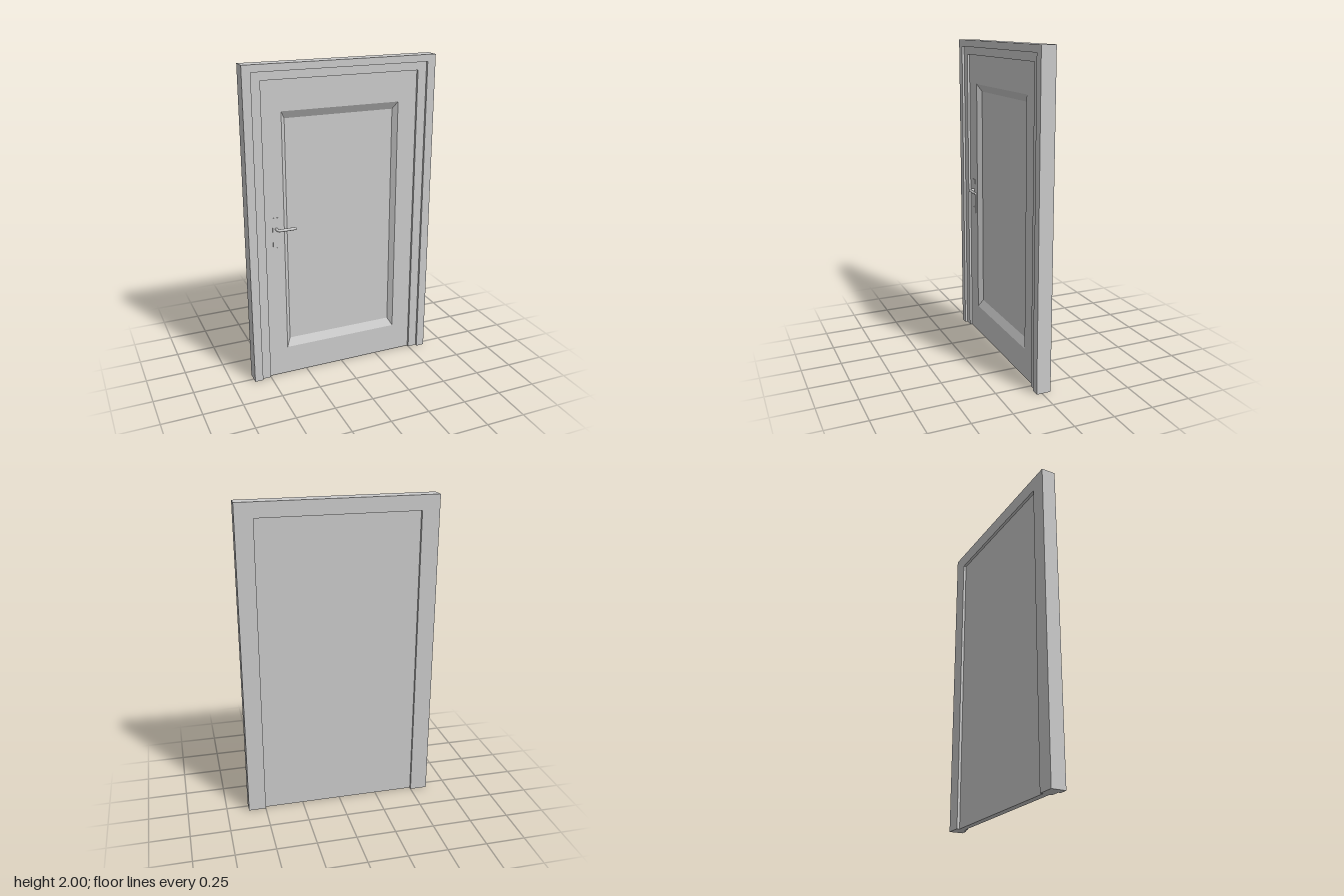
import * as THREE from 'three';

const material = new THREE.MeshStandardMaterial({ color: 0xcccccc });

function add(parent, name, geometry, x = 0, y = 0, z = 0) {
  const mesh = new THREE.Mesh(geometry, material);
  mesh.name = name;
  mesh.position.set(x, y, z);
  parent.add(mesh);
  return mesh;
}

// Upside-down U: two jambs and a head around a doorway, open at the floor
function doorway(outerHalf, outerTop, innerHalf, innerTop, depth) {
  const shape = new THREE.Shape([
    [-outerHalf, 0], [-innerHalf, 0], [-innerHalf, innerTop], [innerHalf, innerTop],
    [innerHalf, 0], [outerHalf, 0], [outerHalf, outerTop], [-outerHalf, outerTop],
  ].map(([x, y]) => new THREE.Vector2(x, y)));
  return new THREE.ExtrudeGeometry(shape, { depth, bevelEnabled: false });
}

// Closed solid through rectangular loops [halfWidth, bottom, top, z], back to front
function rectangleLoft(loops) {
  const rings = loops.map(([w, b, t, z]) => [[-w, b, z], [w, b, z], [w, t, z], [-w, t, z]]);
  const positions = [];
  const quad = (a, b, c, d) => positions.push(...a, ...b, ...c, ...a, ...c, ...d);
  for (let i = 0; i < rings.length - 1; i++) {
    for (let k = 0; k < 4; k++) {
      const n = (k + 1) % 4;
      quad(rings[i][k], rings[i][n], rings[i + 1][n], rings[i + 1][k]);
    }
  }
  quad(...[...rings[0]].reverse());
  quad(...rings[rings.length - 1]);
  const geometry = new THREE.BufferGeometry();
  geometry.setAttribute('position', new THREE.Float32BufferAttribute(positions, 3));
  geometry.computeVertexNormals();
  return geometry;
}

export function createModel() {
  const door = new THREE.Group();
  door.name = 'door';

  // Stepped frame: deep lining with a wider casing in front
  const frame = new THREE.Group();
  frame.name = 'frame';
  door.add(frame);
  add(frame, 'frameLining', doorway(0.61, 2, 0.5, 1.907, 0.075), 0, 0, -0.055);
  add(frame, 'frameCasing', doorway(0.61, 2, 0.557, 1.957, 0.015), 0, 0, 0.02);

  // Leaf with a bevelled sunken panel on the front and a plain back
  const front = 0.005;
  add(door, 'doorLeaf', rectangleLoft([
    [0.5, 0, 1.907, -0.037],
    [0.5, 0, 1.907, front],
    [0.377, 0.185, 1.722, front],
    [0.35, 0.235, 1.675, front - 0.027],
  ]));

  // Lever handle on a thin backplate with a keyhole
  const handle = new THREE.Group();
  handle.name = 'handle';
  handle.position.set(-0.43, 1.008, front);
  door.add(handle);

  const plate = new THREE.Shape([[-0.021, -0.16], [0.021, -0.16], [0.021, 0.072], [-0.021, 0.072]]
    .map(([x, y]) => new THREE.Vector2(x, y)));
  const keyhole = new THREE.Path();
  keyhole.absarc(0, -0.118, 0.005, 0, Math.PI * 2, true);
  plate.holes.push(keyhole);
  add(handle, 'backplate', new THREE.ExtrudeGeometry(plate, { depth: 0.003, bevelEnabled: false }));

  const radius = 0.009;
  const reach = 0.038;
  const end = 0.114;
  const path = new THREE.CurvePath();
  const p = (x, z) => new THREE.Vector3(x, 0, z);
  path.add(new THREE.LineCurve3(p(0.002, 0), p(0.002, reach - 0.016)));
  path.add(new THREE.QuadraticBezierCurve3(p(0.002, reach - 0.016), p(0.002, reach), p(0.02, reach)));
  path.add(new THREE.LineCurve3(p(0.02, reach), p(end, reach)));
  add(handle, 'lever', new THREE.TubeGeometry(path, 48, radius, 16, false));

  // Slightly domed tip closing the lever
  const tip = add(handle, 'leverTip',
    new THREE.SphereGeometry(radius, 16, 6, 0, Math.PI * 2, 0, Math.PI / 2), end, 0, reach);
  tip.rotation.z = -Math.PI / 2;
  tip.scale.y = 0.4;

  return door;
}
